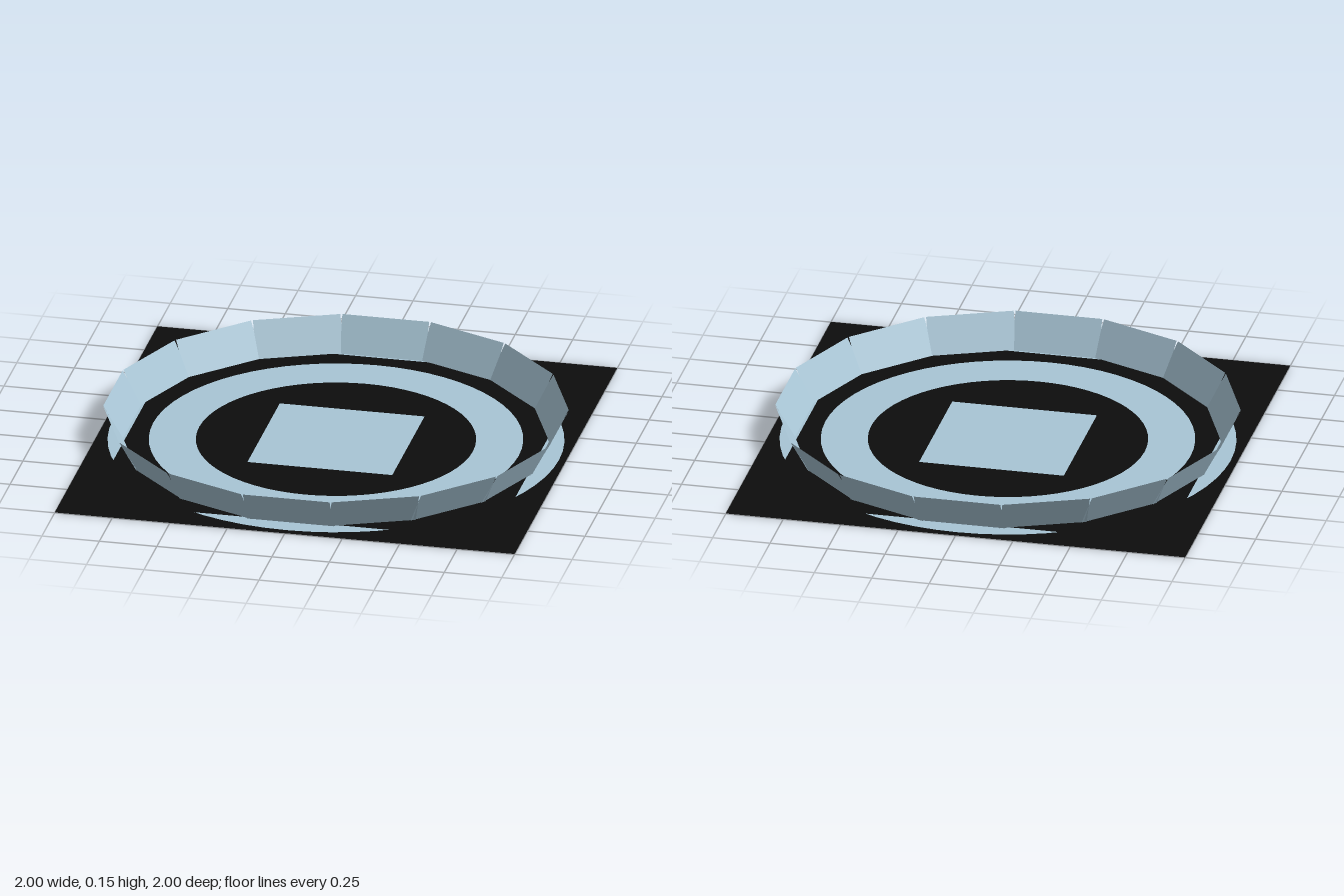
import * as THREE from 'three';

export function createModel() {
  const model = new THREE.Group();
  const pale = new THREE.MeshStandardMaterial({ color: 0xa8c5d5, side: THREE.DoubleSide });
  pale.name = 'pale blue';
  const black = new THREE.MeshStandardMaterial({ color: 0x0d0d0d, side: THREE.DoubleSide });
  black.name = 'black';
  const teal = new THREE.MeshStandardMaterial({ color: 0x5aa3a3, side: THREE.DoubleSide });
  teal.name = 'teal';

  // Flat layer lying at height y, facing up or down
  function layer(name, geometry, material, y, down = false) {
    geometry.rotateX(down ? Math.PI / 2 : -Math.PI / 2);
    const mesh = new THREE.Mesh(geometry, material);
    mesh.name = name;
    mesh.position.y = y;
    model.add(mesh);
  }

  // Base sheet and the stacked inlays on top of it
  layer('baseSheet', new THREE.PlaneGeometry(2, 2), black, 0.0015);
  layer('rimDisc', new THREE.CircleGeometry(0.97, 64), pale, 0.003);
  layer('floorSquare', new THREE.PlaneGeometry(1.75, 1.75), black, 0.0045);
  layer('floorRing', new THREE.RingGeometry(0.595, 0.795, 64), pale, 0.006);
  layer('centreSquare', new THREE.PlaneGeometry(0.63, 0.63), pale, 0.006);

  // Underside rings
  layer('undersideRing', new THREE.RingGeometry(0.55, 0.975, 64), pale, 0, true);
  layer('undersideTrim', new THREE.RingGeometry(0.53, 0.55, 64), teal, 0, true);

  // Sixteen flat panels leaning outward
  const count = 16, bottom = 0.885, top = 0.97, height = 0.15;
  const panel = new THREE.PlaneGeometry(0.377, Math.hypot(top - bottom, height));
  panel.rotateX(Math.atan2(top - bottom, height));
  panel.translate(0, height / 2, (top + bottom) / 2);
  const wall = new THREE.Group();
  wall.name = 'wall';
  for (let i = 0; i < count; i++) {
    const mesh = new THREE.Mesh(panel, pale);
    mesh.name = 'wallPanel';
    mesh.rotation.y = (i / count) * Math.PI * 2;
    wall.add(mesh);
  }
  model.add(wall);
  return model;
}
